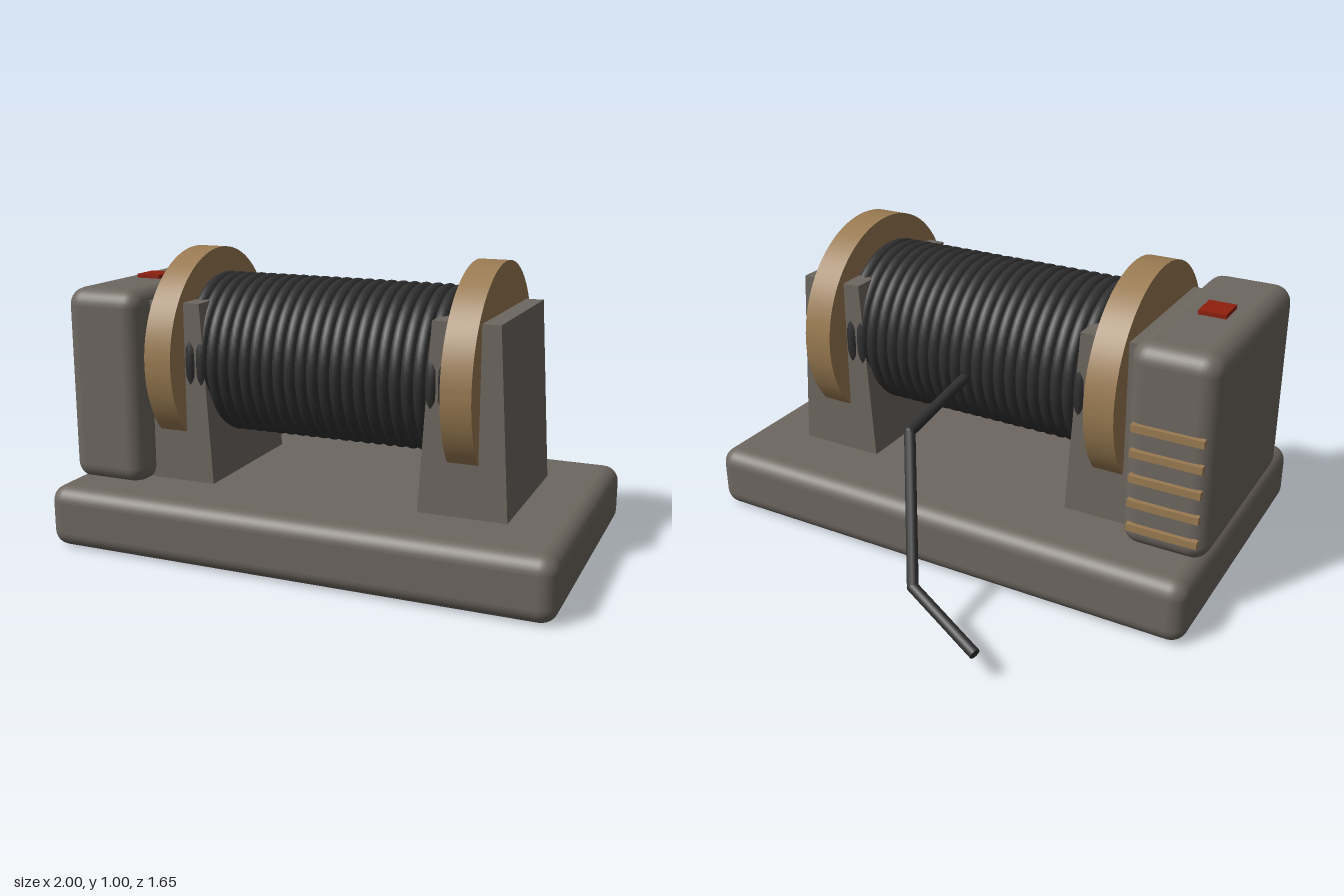
import * as THREE from 'three';
import { toCreasedNormals } from 'three/addons/utils/BufferGeometryUtils.js';
import { RoundedBoxGeometry } from 'three/addons/geometries/RoundedBoxGeometry.js';

const paint = (name, color) => {
  const m = new THREE.MeshStandardMaterial({ color });
  m.name = name;
  return m;
};

export function createModel() {
  const grey = paint('warm grey', 0x6e6760);
  const tan = paint('tan', 0x9a7b52);
  const black = paint('cable black', 0x303030);
  const red = paint('switch red', 0x901f0e);

  const model = new THREE.Group();
  model.name = 'winch';
  const body = new THREE.Group();
  body.name = 'winchBody';
  body.rotation.y = THREE.MathUtils.degToRad(25);
  model.add(body);

  const add = (name, geometry, material, x = 0, y = 0, z = 0) => {
    const mesh = new THREE.Mesh(geometry, material);
    mesh.name = name;
    mesh.position.set(x, y, z);
    body.add(mesh);
    return mesh;
  };

  const axisY = 0.635;

  // Base slab and motor housing
  add('base', new RoundedBoxGeometry(1.766, 0.215, 1.04, 4, 0.055), grey, 0, 0.1075, 0);
  add('motorHousing', new RoundedBoxGeometry(0.285, 0.68, 0.73, 4, 0.06), grey, -0.742, 0.54, 0);

  // Switch on the housing and vent bars on its back
  add('switch', new THREE.BoxGeometry(0.09, 0.018, 0.1), red, -0.745, 0.885, -0.005);
  for (let i = 0; i < 5; i++) {
    add('ventBar', new THREE.BoxGeometry(0.23, 0.024, 0.02), tan, -0.745, 0.28 + i * 0.085, -0.37);
  }

  // Tapered pedestals
  const side = new THREE.Shape([[0.37, 0.2], [0.67, 0.2], [0.63, 0.84], [0.41, 0.84]]
    .map(([x, y]) => new THREE.Vector2(x, y)));
  const pedestal = new THREE.ExtrudeGeometry(side, { depth: 0.54, bevelEnabled: false });
  pedestal.translate(0, 0, -0.27);

  // Round flanges with a flat cut at the bottom
  const cut = Math.asin(0.24 / 0.366);
  const disc = new THREE.Shape();
  disc.absarc(0, 0, 0.366, -cut, Math.PI + cut, false);
  disc.closePath();
  const flange = toCreasedNormals(
    new THREE.ExtrudeGeometry(disc, { depth: 0.1, bevelEnabled: false, curveSegments: 56 }), 0.5);
  flange.translate(0, 0, -0.05);
  flange.rotateY(Math.PI / 2);

  for (const s of [-1, 1]) {
    add('pedestal', pedestal, grey).rotation.y = s < 0 ? Math.PI : 0;
    add('flange', flange, tan, s * 0.52, axisY, 0);
  }

  // Drum core and wound cable
  const core = new THREE.CylinderGeometry(0.258, 0.258, 0.94, 48);
  core.rotateZ(Math.PI / 2);
  add('drumCore', core, black, 0, axisY, 0);
  const ring = new THREE.TorusGeometry(0.26, 0.021, 8, 56);
  ring.rotateY(Math.PI / 2);
  const turns = 23;
  for (let i = 0; i < turns; i++) {
    add('cableTurn', ring, black, -0.45 + (0.9 * i) / (turns - 1), axisY, 0);
  }

  // Loose cable end with sharp bends
  const path = [[0, 0.6, -0.25], [0, 0.55, -0.6], [-0.157, 0.185, -0.846], [-0.416, 0.095, -0.928]]
    .map((p) => new THREE.Vector3(...p));
  const up = new THREE.Vector3(0, 1, 0);
  for (let i = 0; i < path.length - 1; i++) {
    const dir = path[i + 1].clone().sub(path[i]);
    const mid = path[i].clone().addScaledVector(dir, 0.5);
    const piece = add('cableEnd', new THREE.CylinderGeometry(0.018, 0.018, dir.length(), 10),
      black, mid.x, mid.y, mid.z);
    piece.quaternion.setFromUnitVectors(up, dir.normalize());
    if (i > 0) add('cableBend', new THREE.SphereGeometry(0.018, 10, 8), black, ...path[i].toArray());
  }

  return model;
}
